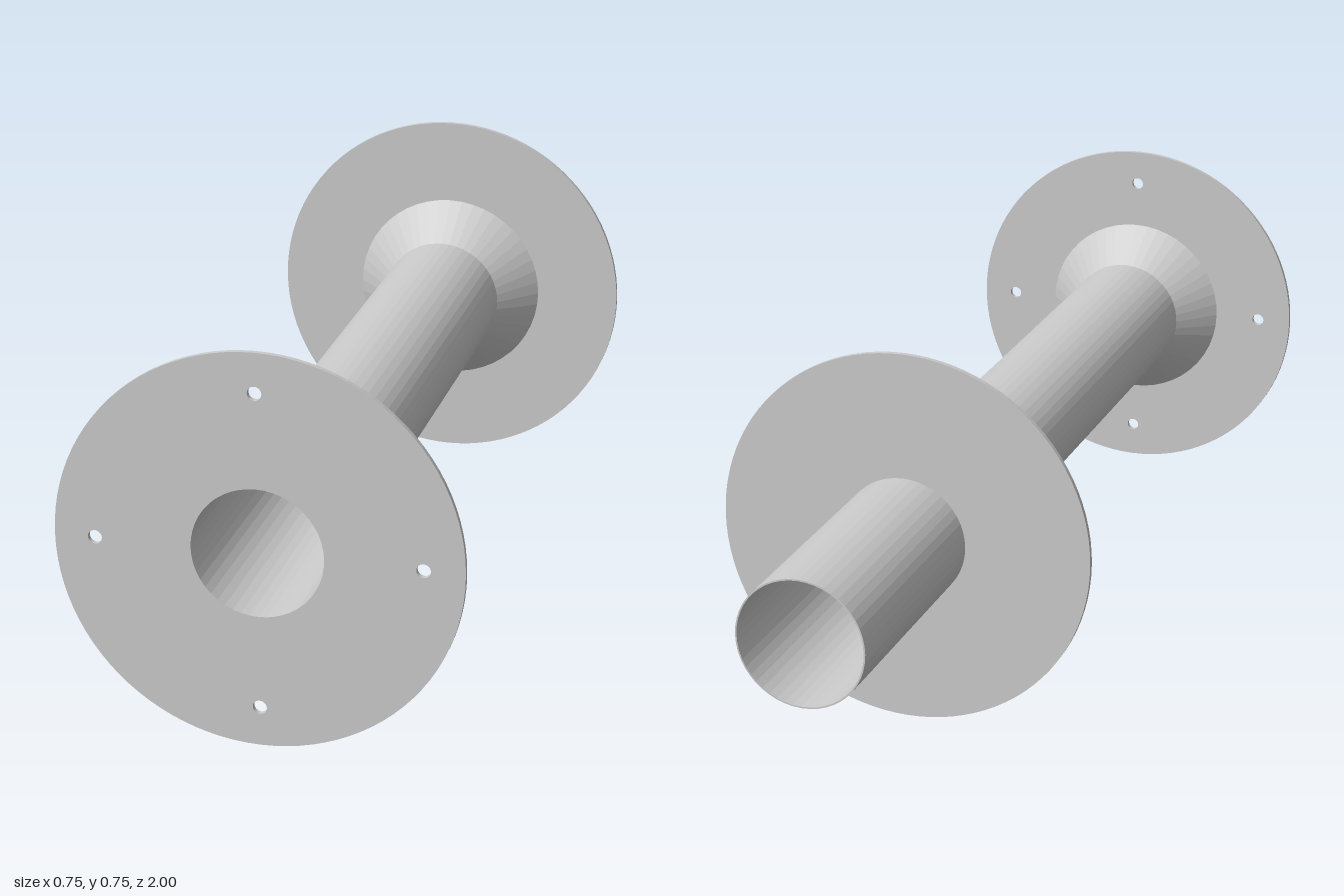
import * as THREE from 'three';

const SEGMENTS = 48;
const PIPE_R = 0.125;
const BORE_R = 0.122;
const FLANGE_R = 0.375;
const FLANGE_T = 0.01;

const material = new THREE.MeshStandardMaterial({ color: 0xcccccc, flatShading: true });

function addMesh(group, name, geometry) {
  const mesh = new THREE.Mesh(geometry, material);
  mesh.name = name;
  group.add(mesh);
  return mesh;
}

// Ring-like solid turned about the z axis; profile is [radius, z], counterclockwise
function turned(profile) {
  const points = profile.map(([r, z]) => new THREE.Vector2(r, z));
  points.push(points[0].clone());
  return new THREE.LatheGeometry(points, SEGMENTS).rotateX(Math.PI / 2);
}

// Thin round plate with a central bore and optional bolt holes
function flangePlate(boltCount) {
  const shape = new THREE.Shape();
  shape.absarc(0, 0, FLANGE_R, 0, Math.PI * 2);
  const addHole = (x, y, r) =>
    shape.holes.push(new THREE.Path().absarc(x, y, r, 0, Math.PI * 2, true));
  addHole(0, 0, BORE_R);
  for (let i = 0; i < boltCount; i++) {
    const a = (i / boltCount) * Math.PI * 2;
    addHole(0.3 * Math.cos(a), 0.3 * Math.sin(a), 0.013);
  }
  return new THREE.ExtrudeGeometry(shape, {
    depth: FLANGE_T, bevelEnabled: false, curveSegments: SEGMENTS,
  });
}

export function createModel() {
  const model = new THREE.Group();
  model.name = 'flangedPipe';

  // Open pipe running the full length
  addMesh(model, 'pipe', turned([
    [BORE_R, -1], [PIPE_R, -1], [PIPE_R, 1], [BORE_R, 1],
  ]));

  // End flange with bolt holes, and plain flange part way along
  addMesh(model, 'frontFlange', flangePlate(4)).position.z = 1 - FLANGE_T;
  addMesh(model, 'rearFlange', flangePlate(0)).position.z = -0.5;

  // Conical collars bracing each flange towards the middle of the pipe
  addMesh(model, 'frontCollar', turned([
    [PIPE_R, 0.91], [0.2, 0.99], [PIPE_R, 0.99],
  ]));
  addMesh(model, 'rearCollar', turned([
    [PIPE_R, -0.49], [0.2, -0.49], [PIPE_R, -0.41],
  ]));

  model.position.y = FLANGE_R;
  return model;
}
